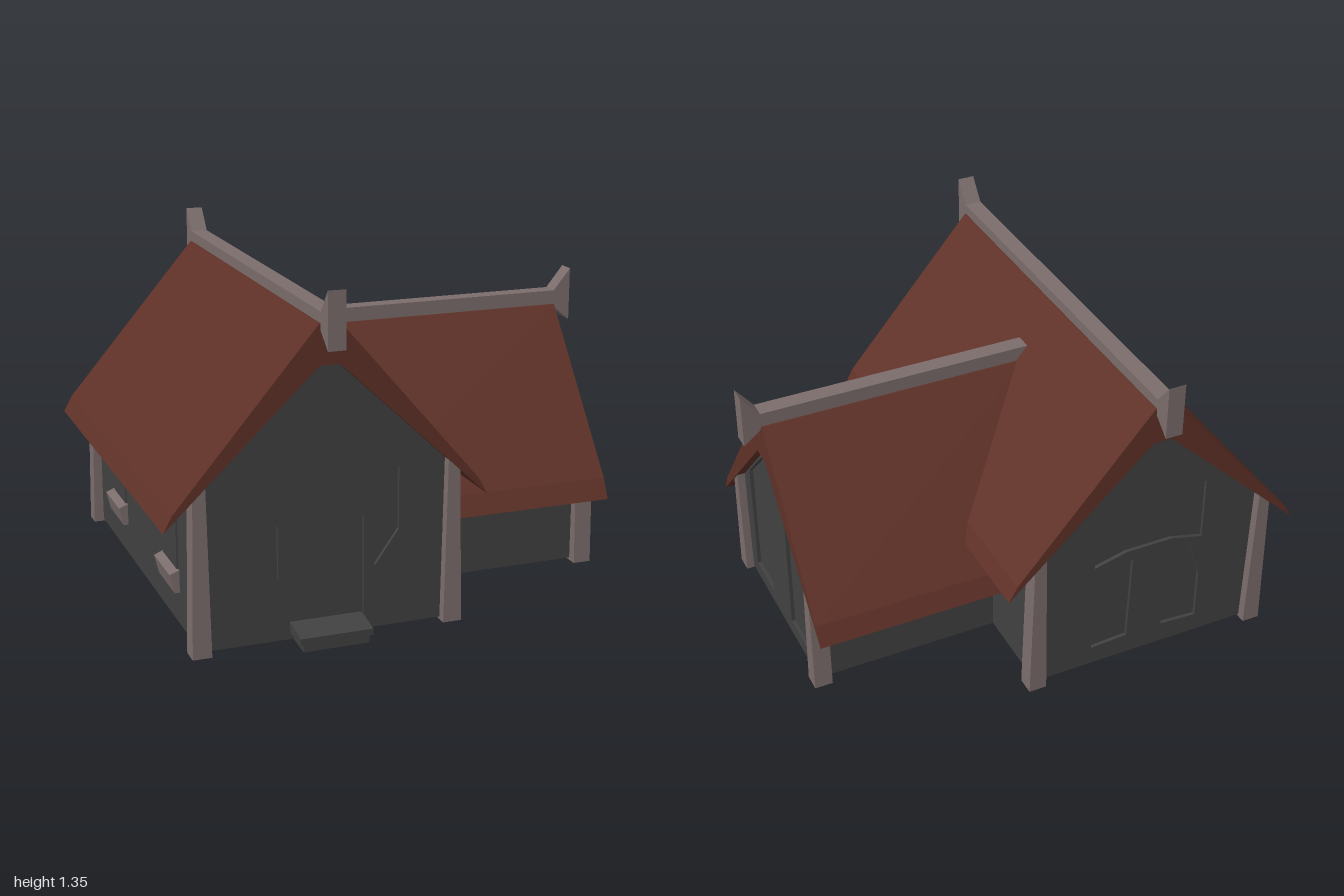
import * as THREE from 'three';

const wallMat = new THREE.MeshStandardMaterial({ name: 'charcoalWall', color: 0x414141 });
const roofMat = new THREE.MeshStandardMaterial({ name: 'rustRoof', color: 0x5f3127 });
const woodMat = new THREE.MeshStandardMaterial({ name: 'greyTimber', color: 0x7b6d6c });

const vecs = (pts) => pts.map(([x, y]) => new THREE.Vector2(x, y));
const flip = (pts) => pts.map(([x, y]) => [-x, y]).reverse();

// Prism with the given xy outline (and holes) running from z0 to z1
function prism(name, pts, z0, z1, mat, holes = []) {
  const shape = new THREE.Shape(vecs(pts));
  for (const h of holes) shape.holes.push(new THREE.Path(vecs(h)));
  const geo = new THREE.ExtrudeGeometry(shape, { depth: z1 - z0, bevelEnabled: false });
  geo.translate(0, 0, z0);
  const mesh = new THREE.Mesh(geo, mat);
  mesh.name = name;
  return mesh;
}

// Prism with a (z, y) outline, centred on x
function sideways(name, pts, width, mat, x = 0) {
  const mesh = prism(name, pts, -width / 2, width / 2, mat);
  mesh.geometry.rotateY(-Math.PI / 2);
  mesh.position.x = x;
  return mesh;
}

// Half outline on +x, mirrored into a closed symmetric outline
const symmetric = (half) => [...half, ...flip(half)];

// Gabled volume along z; ends lists the recessed panels for each decorated gable
function gabledHall(name, o) {
  const g = new THREE.Group();
  g.name = name;
  const wall = symmetric([[o.wallX, 0.01], [o.wallX, o.wallY], [0.04, o.gableY]]);
  const skin = 0.015;
  const back = o.ends.length > 1 ? o.wallBack + skin : o.wallBack;
  g.add(prism('walls', wall, back, o.wallFront - skin, wallMat));
  o.ends.forEach((holes, i) => {
    const end = i ? -o.wallBack : o.wallFront;
    const face = prism('gableFace', wall, end - skin, end, wallMat, holes);
    face.rotation.y = i * Math.PI;
    g.add(face);
  });

  // Roof is thick at the ridge and tapers to thin, kicked-out eaves
  const [tip, bend] = [o.eaveTip, o.eaveBend];
  const half = [[0.04, o.gableY], tip, bend, [0.04, o.roofY]];
  g.add(prism('roof', symmetric(half), o.roofBack, o.roofFront, roofMat));

  // Ridge beam with flared end pieces
  const top = o.beamY;
  g.add(prism('ridgeBeam', [[-0.035, top - 0.07], [0.035, top - 0.07], [0.035, top], [-0.035, top]],
    o.beamBack, o.roofFront, woodMat));
  o.ends.forEach((_, i) => {
    const z = i ? -o.roofBack : o.roofFront;
    const flare = sideways('ridgeFinial',
      [[z, top - 0.07], [z + 0.073, top - 0.13], [z + 0.073, top + 0.09], [z, top]], 0.07, woodMat);
    flare.rotation.y = i * Math.PI;
    g.add(flare);
  });

  // Tapered corner posts
  const p = o.postX;
  const post = [[p - 0.037, 0], [p + 0.037, 0], [p + 0.024, o.postY - 0.02], [p - 0.024, o.postY + 0.025]];
  for (const z of o.postZ) {
    g.add(prism('cornerPost', post, z - 0.037, z + 0.037, woodMat));
    g.add(prism('cornerPost', flip(post), z - 0.037, z + 0.037, woodMat));
  }
  return g;
}

export function createModel() {
  const model = new THREE.Group();
  model.name = 'house';

  // Panels of the main hall: front door and slanted windows, back doors and loft panel
  const door = [[-0.147, 0.05], [0.147, 0.05], [0.147, 0.46], [0, 0.605], [-0.147, 0.46]];
  const slant = [[0.19, 0.255], [0.287, 0.39], [0.287, 0.64], [0.19, 0.46]];
  const loft = [[-0.24, 0.5], [-0.1, 0.535], [0.1, 0.535], [0.24, 0.5], [0.24, 0.77], [0, 0.93], [-0.24, 0.77]];
  const backDoor = [[0.08, 0.1], [0.24, 0.09], [0.24, 0.31], [0.19, 0.47], [0.07, 0.485]];

  const hall = gabledHall('mainHall', {
    wallX: 0.49, wallY: 0.633, gableY: 1.06, wallFront: 0.79, wallBack: -0.79,
    ends: [[door, slant, flip(slant)], [loft, backDoor, flip(backDoor)]],
    eaveTip: [0.63, 0.5], eaveBend: [0.595, 0.565], roofY: 1.215, roofFront: 0.83, roofBack: -0.83,
    beamY: 1.258, beamBack: -0.83,
    postX: 0.495, postY: 0.645, postZ: [0.79, -0.79],
  });
  hall.position.x = -0.37;
  model.add(hall);

  // Side wing, turned to run along +x
  const tall = [[0.105, 0.07], [0.31, 0.07], [0.31, 0.56], [0.105, 0.765]];
  const wing = gabledHall('sideWing', {
    wallX: 0.405, wallY: 0.475, gableY: 0.85, wallFront: 0.89, wallBack: 0.1,
    ends: [[tall, flip(tall)]],
    eaveTip: [0.565, 0.31], eaveBend: [0.525, 0.39], roofY: 1.01, roofFront: 0.928, roofBack: -0.19,
    beamY: 1.068, beamBack: -0.215,
    postX: 0.41, postY: 0.5, postZ: [0.885],
  });
  wing.rotation.y = Math.PI / 2;
  model.add(wing);

  // Doorstep: worn slab on a low block
  model.add(sideways('doorstepSlab', [[0.78, 0.035], [0.905, 0.03], [0.905, 0.055], [0.83, 0.07], [0.78, 0.075]],
    0.285, wallMat, -0.372));
  model.add(sideways('doorstepBlock', [[0.78, 0.01], [0.9, 0], [0.9, 0.03], [0.78, 0.035]],
    0.26, wallMat, -0.372));

  // Windows and sloping sills on the long outer wall
  for (const z of [-0.4, 0.4]) {
    const pane = new THREE.Mesh(new THREE.BoxGeometry(0.008, 0.27, 0.2), wallMat);
    pane.name = 'sideWindow';
    pane.position.set(-0.862, 0.365, z);
    model.add(pane);
    const sill = prism('windowSill', [[-0.85, 0.14], [-0.88, 0.14], [-0.898, 0.215], [-0.85, 0.235]].reverse(),
      z - 0.115, z + 0.115, woodMat);
    model.add(sill);
  }
  return model;
}
